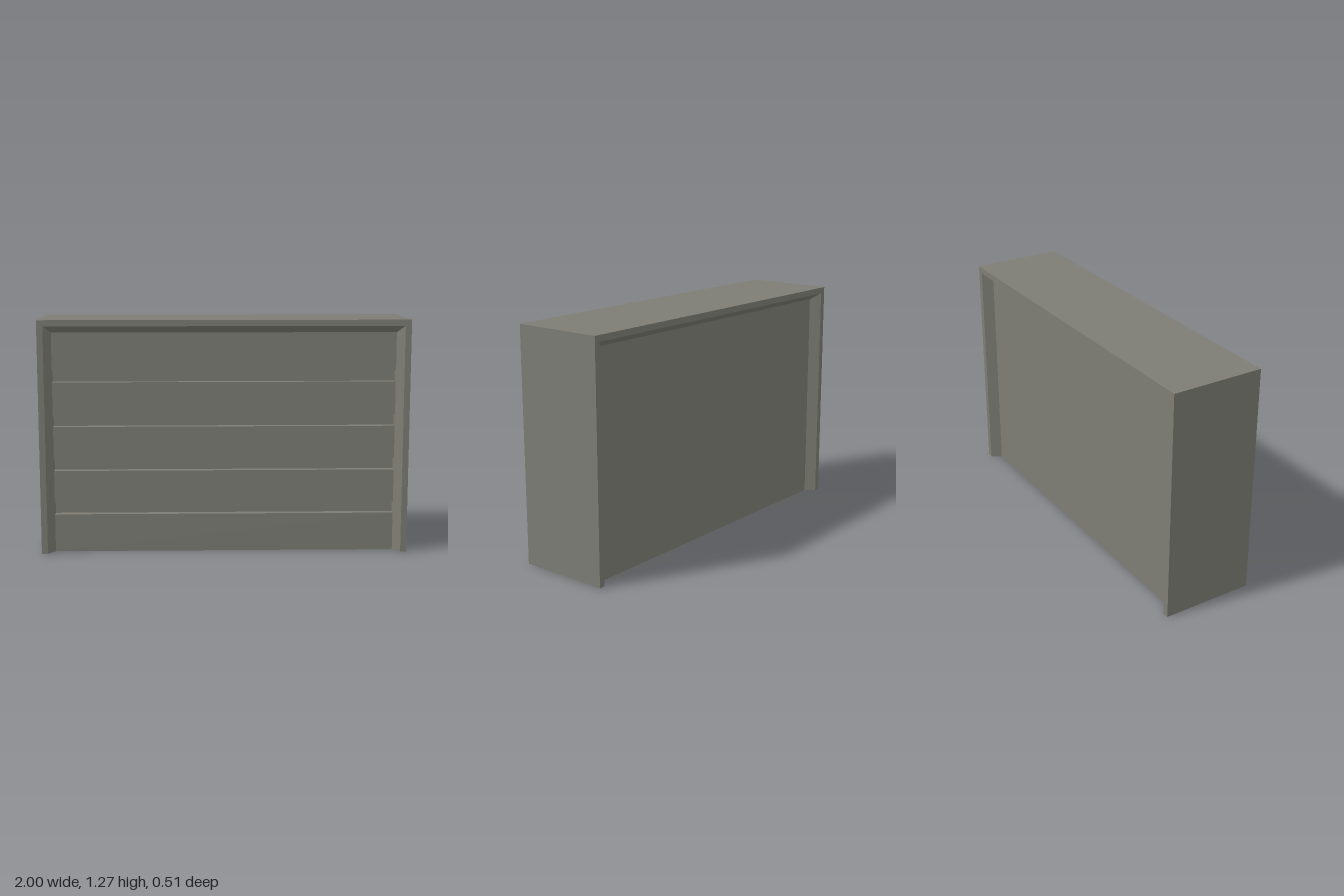
import * as THREE from 'three';

const HEIGHT = 1.275, HALF_DEPTH = 0.255;
const FACE = 0.033, INSET = 0.07;      // frame width at its face and at the door
const DOOR_Z = 0.2, GROOVE = 0.04;     // door surface and groove depth

// Chamfered frame: one cross-section mitred up, across and down the opening
function frameGeometry() {
  const section = [
    [0, HALF_DEPTH], [FACE, HALF_DEPTH], [INSET, DOOR_Z],
    [INSET, -DOOR_Z], [FACE, -HALF_DEPTH], [0, -HALF_DEPTH],
  ];
  const stations = [[-1, 0], [-1, 1], [1, 1], [1, 0]];   // side, top or bottom
  const n = section.length;
  const positions = [], index = [];
  for (const [side, top] of stations)
    for (const [inset, z] of section)
      positions.push(side * (1 - inset), top * (HEIGHT - inset), z);

  for (let s = 0; s < stations.length - 1; s++)
    for (let j = 0; j < n; j++) {
      const k = (j + 1) % n;
      const a = s * n + j, b = s * n + k, c = b + n, d = a + n;
      index.push(a, b, c, a, c, d);
    }
  // Feet of the two jambs
  const end = (stations.length - 1) * n;
  for (let k = 1; k < n - 1; k++)
    index.push(0, k + 1, k, end, end + k, end + k + 1);

  const indexed = new THREE.BufferGeometry();
  indexed.setAttribute('position', new THREE.Float32BufferAttribute(positions, 3));
  indexed.setIndex(index);
  const geometry = indexed.toNonIndexed();
  geometry.computeVertexNormals();
  return geometry;
}

// Door: side profile with four square grooves in front, extruded across the width
function doorGeometry() {
  const top = HEIGHT - INSET, width = 2 * (1 - INSET);
  const profile = new THREE.Shape();
  profile.moveTo(-DOOR_Z, 0);
  profile.lineTo(DOOR_Z, 0);
  for (let i = 0; i < 4; i++) {
    const low = 0.208 + i * 0.243, high = low + 0.063;
    profile.lineTo(DOOR_Z, low);
    profile.lineTo(DOOR_Z - GROOVE, low);
    profile.lineTo(DOOR_Z - GROOVE, high);
    profile.lineTo(DOOR_Z, high);
  }
  profile.lineTo(DOOR_Z, top);
  profile.lineTo(-DOOR_Z, top);
  profile.closePath();
  const geometry = new THREE.ExtrudeGeometry(profile, { depth: width, bevelEnabled: false });
  geometry.rotateY(-Math.PI / 2);
  geometry.translate(width / 2, 0, 0);
  return geometry;
}

export function createModel() {
  const model = new THREE.Group();
  model.name = 'garageDoor';
  const grey = new THREE.MeshStandardMaterial({ color: 0x7d7d75 });
  grey.name = 'warm grey';

  const frame = new THREE.Mesh(frameGeometry(), grey);
  frame.name = 'frame';
  const door = new THREE.Mesh(doorGeometry(), grey);
  door.name = 'groovedDoor';
  model.add(frame, door);
  return model;
}
